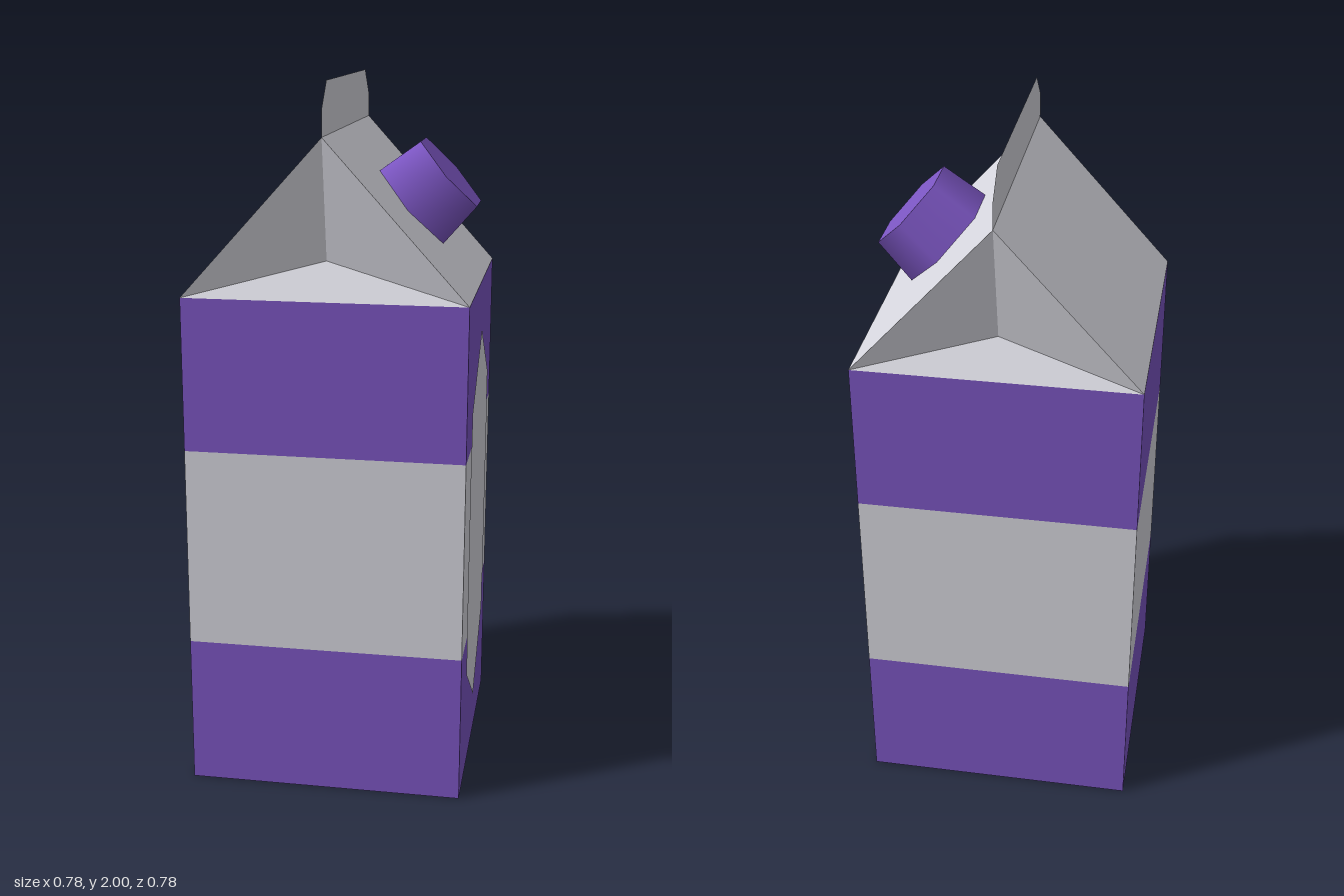
import * as THREE from 'three';

const H = 0.39;        // half width
const EAVE = 1.43;     // top of the straight walls
const RIDGE = 1.86;    // roof ridge
const FOLD = [1.53, 0.325]; // y and z of the inner gusset point

// Flat-shaded surface from convex polygons, corners counter-clockwise from outside
function faces(polys) {
  const pos = [];
  for (const p of polys) {
    for (let i = 1; i < p.length - 1; i++) pos.push(...p[0], ...p[i], ...p[i + 1]);
  }
  const g = new THREE.BufferGeometry();
  g.setAttribute('position', new THREE.Float32BufferAttribute(pos, 3));
  g.computeVertexNormals();
  return g;
}

// Four walls between two heights
function walls(y0, y1) {
  const c = [[-H, H], [H, H], [H, -H], [-H, -H]];
  return c.map(([x, z], i) => {
    const [u, w] = c[(i + 1) % 4];
    return [[x, y0, z], [u, y0, w], [u, y1, w], [x, y1, z]];
  });
}

export function createModel() {
  const purple = new THREE.MeshStandardMaterial({ color: 0x7c56c3 });
  const paper = new THREE.MeshStandardMaterial({ color: 0xd7d7df, side: THREE.DoubleSide });
  purple.name = 'purple';
  paper.name = 'palePaper';

  const group = new THREE.Group();
  group.name = 'drinkCarton';
  const add = (name, geometry, material) => {
    const m = new THREE.Mesh(geometry, material);
    m.name = name;
    group.add(m);
    return m;
  };

  // Body in three bands, with a floor
  const floor = [[-H, 0, -H], [H, 0, -H], [H, 0, H], [-H, 0, H]];
  add('lowerBand', faces([...walls(0, 0.43), floor]), purple);
  add('middleBand', faces(walls(0.43, 1)), paper);
  add('upperBand', faces(walls(1, EAVE)), purple);

  // Tall hexagonal label on the left side
  const label = new THREE.Shape([
    [0, 0.14], [0.257, 0.325], [0.257, 0.415], [0.268, 0.43], [0.268, 1], [0.257, 1.015],
    [0.257, 1.105], [0, 1.29], [-0.257, 1.105], [-0.257, 1.015], [-0.268, 1],
    [-0.268, 0.43], [-0.257, 0.415], [-0.257, 0.325],
  ].map(([x, y]) => new THREE.Vector2(x, y)));
  const plate = add('sideLabel', new THREE.ShapeGeometry(label), paper);
  plate.rotation.y = Math.PI / 2;
  plate.position.x = H + 0.003;

  // Roof slopes
  add('roofSlopes', faces([
    [[H, EAVE, H], [H, EAVE, -H], [0, RIDGE, -H], [0, RIDGE, H]],
    [[-H, EAVE, -H], [-H, EAVE, H], [0, RIDGE, H], [0, RIDGE, -H]],
  ]), paper);

  // Folded-in gable ends
  const [fy, fz] = FOLD;
  const gable = faces([
    [[-H, EAVE, H], [H, EAVE, H], [0, fy, fz]],
    [[H, EAVE, H], [0, RIDGE, H], [0, fy, fz]],
    [[0, RIDGE, H], [-H, EAVE, H], [0, fy, fz]],
  ]);
  add('frontGable', gable, paper);
  add('backGable', gable, paper).rotation.y = Math.PI;

  // Sealed top fin with clipped corners
  add('topFin', faces([[
    [0, RIDGE, H], [0, RIDGE, -H], [0, 1.93, -H], [0, 2, -0.32], [0, 2, 0.32], [0, 1.93, H],
  ]]), paper);

  // Six-sided screw cap standing square to the left slope
  const slope = RIDGE - EAVE;
  const cap = add('cap', new THREE.CylinderGeometry(0.137, 0.155, 0.137, 6), purple);
  const normal = new THREE.Vector3(slope, H, 0).normalize();
  cap.position.set(0.195, RIDGE - 0.195 * slope / H, 0).addScaledVector(normal, 0.0685);
  cap.rotation.z = -Math.atan2(slope, H);

  return group;
}
